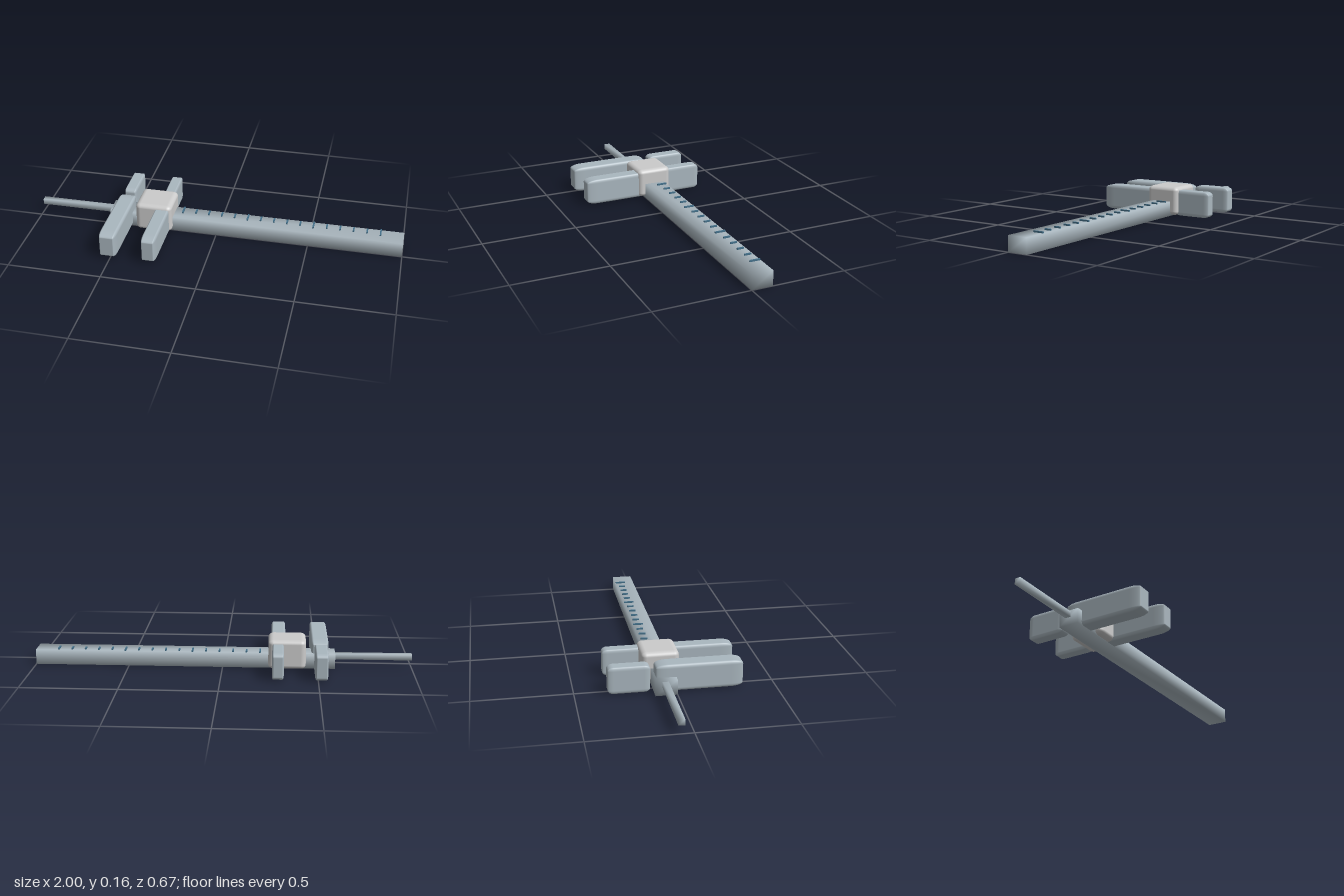
import * as THREE from 'three';
import { mergeVertices } from 'three/addons/utils/BufferGeometryUtils.js';
import { RoundedBoxGeometry } from 'three/addons/geometries/RoundedBoxGeometry.js';

const steel = new THREE.MeshStandardMaterial({ color: 0xaab7bf });
const grey = new THREE.MeshStandardMaterial({ color: 0xcccccc });
const ink = new THREE.MeshStandardMaterial({ color: 0x44708a });

// Box with shared corners, so its shading runs smoothly round the edges
function smoothBox() {
  const g = new THREE.BoxGeometry(1, 1, 1);
  g.deleteAttribute('normal');
  g.deleteAttribute('uv');
  return mergeVertices(g);
}

export function createModel() {
  const model = new THREE.Group();
  model.name = 'slidingCaliper';

  // Fit a unit geometry into the given x, y and z ranges
  function part(name, unit, material, [x0, x1], [y0, y1], [z0, z1]) {
    const g = unit.clone().scale(x1 - x0, y1 - y0, z1 - z0);
    if (unit === sharp) g.computeVertexNormals();
    g.translate((x0 + x1) / 2, (y0 + y1) / 2, (z0 + z1) / 2);
    const mesh = new THREE.Mesh(g, material);
    mesh.name = name;
    model.add(mesh);
  }
  const sharp = smoothBox();
  const rounded = new RoundedBoxGeometry(1, 1, 1, 4, 0.14);
  const plain = new THREE.BoxGeometry(1, 1, 1);

  // Beam and the depth rod at its end
  part('beam', sharp, steel, [-0.595, 1], [0, 0.08], [-0.11, 0]);
  part('depthRod', sharp, steel, [-1, -0.59], [0.042, 0.073], [-0.075, -0.044]);

  // Slider carriage
  part('slider', rounded, grey, [-0.44, -0.242], [0.004, 0.16], [-0.152, 0.039]);

  // Outside jaws in front, inside jaws behind
  const height = [0.003, 0.143];
  part('fixedOutsideJaw', rounded, steel, [-0.56, -0.468], height, [-0.1, 0.337]);
  part('movingOutsideJaw', rounded, steel, [-0.332, -0.255], height, [-0.1, 0.337]);
  part('fixedInsideJaw', rounded, steel, [-0.55, -0.483], height, [-0.337, -0.127]);
  part('movingInsideJaw', rounded, steel, [-0.324, -0.263], height, [-0.337, -0.127]);

  // Scale marks, every fifth one longer
  for (let i = 0; i < 16; i++) {
    const x = -0.198 + i * 0.0717;
    const half = i % 5 === 0 ? 0.028 : 0.018;
    part('scaleMark', plain, ink, [x - 0.004, x + 0.004], [0.078, 0.088], [-0.08 - half, -0.08 + half]);
  }
  return model;
}
